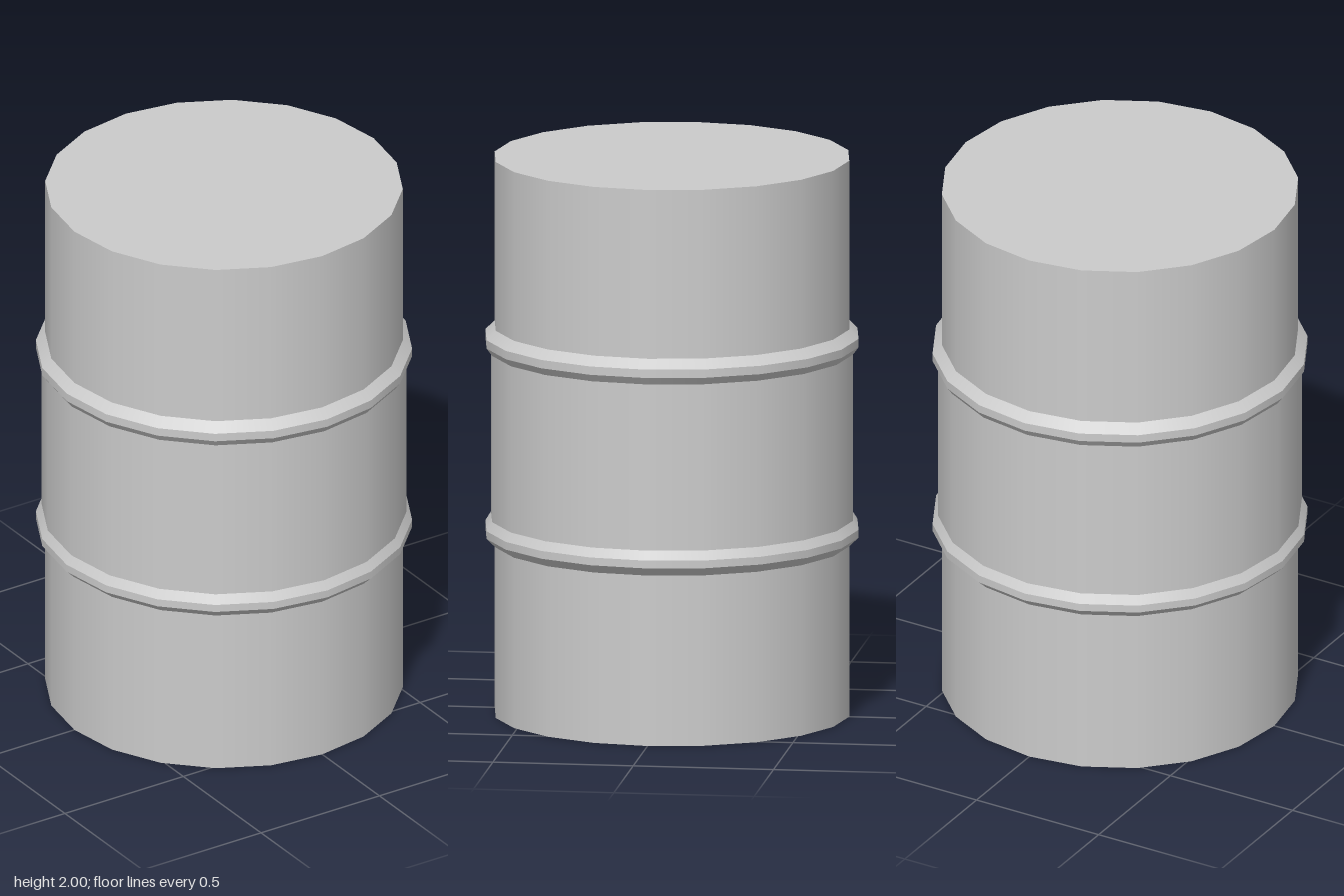
import * as THREE from 'three';
import { mergeGeometries } from 'three/addons/utils/BufferGeometryUtils.js';

const SIDES = 20;
const BODY = 0.632, MIDDLE = 0.645, RIB = 0.665;

// Open ring of wall between two [radius, height] points, smooth around its axis
function band([r0, y0], [r1, y1]) {
  return new THREE.CylinderGeometry(r1, r0, y1 - y0, SIDES, 1, true).translate(0, (y0 + y1) / 2, 0);
}

// Stack of bands with crisp edges between them
function wall(points) {
  return mergeGeometries(points.slice(1).map((p, i) => band(points[i], p)));
}

export function createModel() {
  const group = new THREE.Group();
  group.name = 'drum';
  const material = new THREE.MeshStandardMaterial({ color: 0xcccccc });

  const add = (name, geometry) => {
    const mesh = new THREE.Mesh(geometry, material);
    mesh.name = name;
    group.add(mesh);
    return mesh;
  };

  // Barrel walls, the middle one slightly wider
  add('lowerWall', wall([[BODY, 0], [BODY, 0.613]]));
  add('middleWall', wall([[MIDDLE, 0.705], [MIDDLE, 1.303]]));
  add('upperWall', wall([[BODY, 1.393], [BODY, 2]]));

  // Bevelled rolling hoops
  add('lowerHoop', wall([[BODY, 0.613], [RIB, 0.645], [RIB, 0.673], [MIDDLE, 0.705]]));
  add('upperHoop', wall([[MIDDLE, 1.303], [RIB, 1.33], [RIB, 1.36], [BODY, 1.393]]));

  // Flat ends, with corners lined up to the walls
  const disc = () => new THREE.CircleGeometry(BODY, SIDES);
  add('lid', disc().rotateX(-Math.PI / 2).translate(0, 2, 0));
  add('base', disc().rotateX(Math.PI / 2));

  return group;
}
